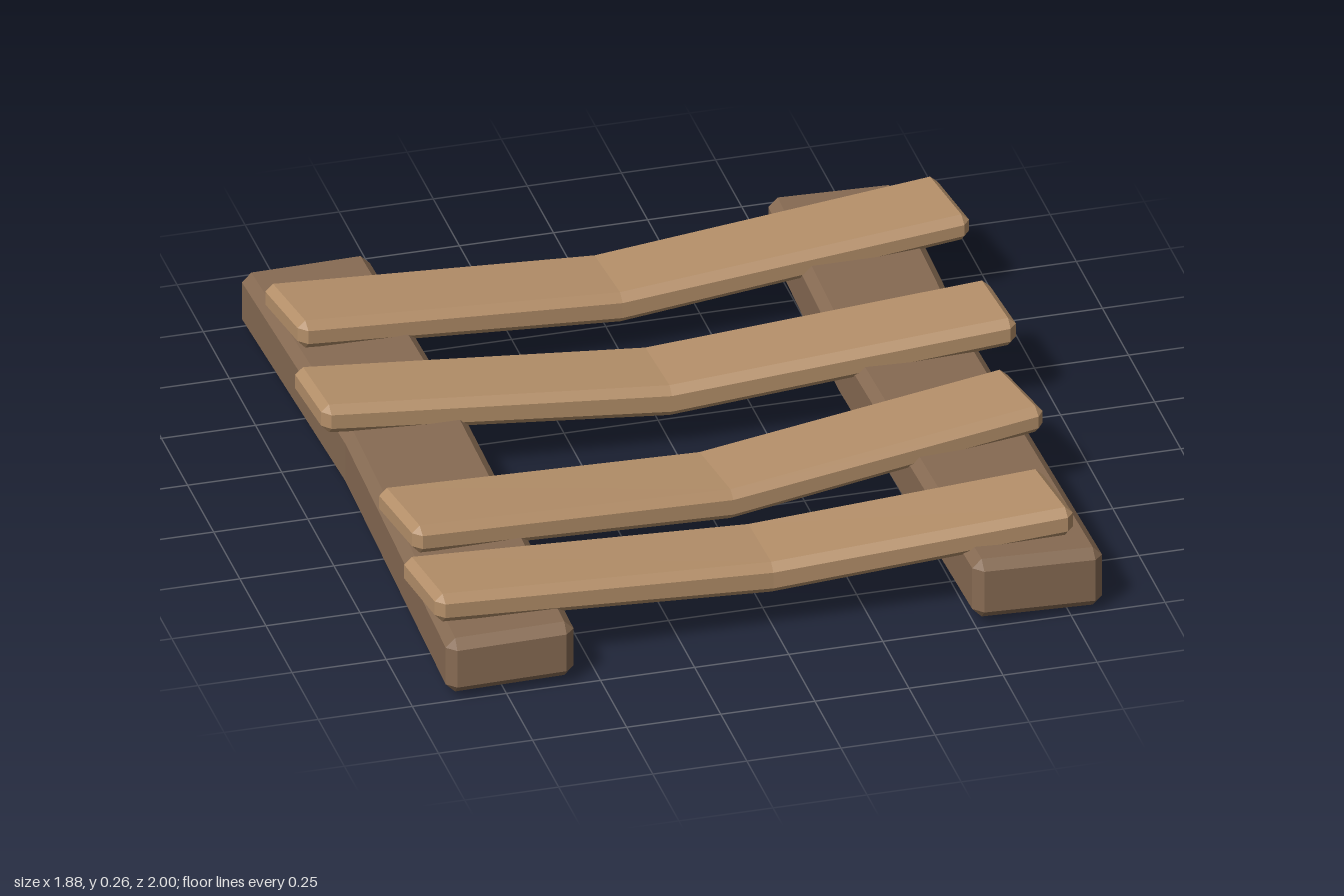
import * as THREE from 'three';

// Chamfered timber lofted through stations [ax, az, bx, bz, aBottom, aTop, tilt]:
// a and b are the two side edges, tilt is how much higher edge b lies.
function timber(name, stations, bevel, material) {
  const P = stations.map(([ax, az, bx, bz, y0, y1, tilt = 0]) => ({
    a: new THREE.Vector3(ax, (y0 + y1) / 2, az),
    b: new THREE.Vector3(bx, (y0 + y1) / 2 + tilt, bz),
    h: (y1 - y0) / 2,
  }));

  // Octagonal cross-section, or the small rectangle that closes an end
  const section = (s, shift, cap) => {
    const mid = s.a.clone().add(s.b).multiplyScalar(0.5).add(shift);
    const side = s.b.clone().sub(s.a);
    const w = side.length() / 2, wi = w - bevel, h = s.h, hi = h - bevel;
    side.normalize();
    const W = cap ? wi : w, H = cap ? hi : h;
    return [[-wi, H], [wi, H], [W, hi], [W, -hi], [wi, -H], [-wi, -H], [-W, -hi], [-W, hi]]
      .map(([u, y]) => mid.clone().addScaledVector(side, u).add(new THREE.Vector3(0, y, 0)));
  };
  const centre = (s) => s.a.clone().add(s.b).multiplyScalar(0.5);
  const n = P.length, zero = new THREE.Vector3();
  const inStart = centre(P[1]).sub(centre(P[0])).setLength(bevel);
  const inEnd = centre(P[n - 2]).sub(centre(P[n - 1])).setLength(bevel);
  const rings = [
    section(P[0], zero, true),
    section(P[0], inStart, false),
    ...P.slice(1, -1).map((s) => section(s, zero, false)),
    section(P[n - 1], inEnd, false),
    section(P[n - 1], zero, true),
  ];

  const pos = [];
  const tri = (p, q, r) => {
    const area = q.clone().sub(p).cross(r.clone().sub(p)).length();
    if (area > 1e-8) for (const v of [p, q, r]) pos.push(v.x, v.y, v.z);
  };
  for (let i = 0; i < rings.length - 1; i++) {
    for (let k = 0; k < 8; k++) {
      const m = (k + 1) % 8, A = rings[i], B = rings[i + 1];
      tri(A[k], A[m], B[m]);
      tri(A[k], B[m], B[k]);
    }
  }
  const first = rings[0], last = rings[rings.length - 1];
  for (let k = 1; k < 7; k++) {
    tri(first[0], first[k + 1], first[k]);
    tri(last[0], last[k], last[k + 1]);
  }
  const geo = new THREE.BufferGeometry();
  geo.setAttribute('position', new THREE.Float32BufferAttribute(pos, 3));
  geo.computeVertexNormals();
  const mesh = new THREE.Mesh(geo, material);
  mesh.name = name;
  return mesh;
}

export function createModel() {
  const group = new THREE.Group();
  group.name = 'woodenPallet';
  const plankWood = new THREE.MeshStandardMaterial({ color: 0xb48f69 });
  plankWood.name = 'light plank wood';
  const railWood = new THREE.MeshStandardMaterial({ color: 0x876b53 });
  railWood.name = 'dark rail wood';

  // Two rails running from front to back, slightly bowed
  group.add(timber('rightRail', [
    [-0.905, 1, -0.565, 1, 0.012, 0.17, 0.005],
    [-0.872, -0.1, -0.545, -0.1, 0.012, 0.172, 0.005],
    [-0.905, -1, -0.565, -1, 0.012, 0.17, 0.005],
  ], 0.025, railWood));
  group.add(timber('leftRail', [
    [0.495, 1, 0.84, 1, 0.02, 0.19, -0.012],
    [0.472, -0.22, 0.815, -0.22, 0.008, 0.18, -0.008],
    [0.495, -1, 0.84, -1, 0.016, 0.178, -0.01],
  ], 0.025, railWood));

  // Four sagging cross planks, front to back
  const planks = [
    [[-0.94, 0.675, -0.91, 0.92, 0.18, 0.262],
      [-0.015, 0.645, -0.01, 0.89, 0.115, 0.203],
      [0.76, 0.67, 0.785, 0.92, 0.182, 0.264]],
    [[-0.905, 0.31, -0.87, 0.56, 0.178, 0.258],
      [-0.03, 0.225, 0, 0.472, 0.1, 0.185],
      [0.81, 0.14, 0.855, 0.385, 0.182, 0.258]],
    [[-0.945, -0.345, -0.93, -0.1, 0.178, 0.26],
      [-0.02, -0.325, -0.01, -0.08, 0.1, 0.188],
      [0.89, -0.305, 0.905, -0.06, 0.182, 0.262]],
    [[-0.905, -0.78, -0.87, -0.535, 0.178, 0.258],
      [-0.015, -0.83, 0, -0.588, 0.094, 0.18],
      [0.91, -0.88, 0.94, -0.63, 0.174, 0.248]],
  ];
  planks.forEach((s, i) => group.add(timber(`plank${i + 1}`, s, 0.021, plankWood)));
  return group;
}
